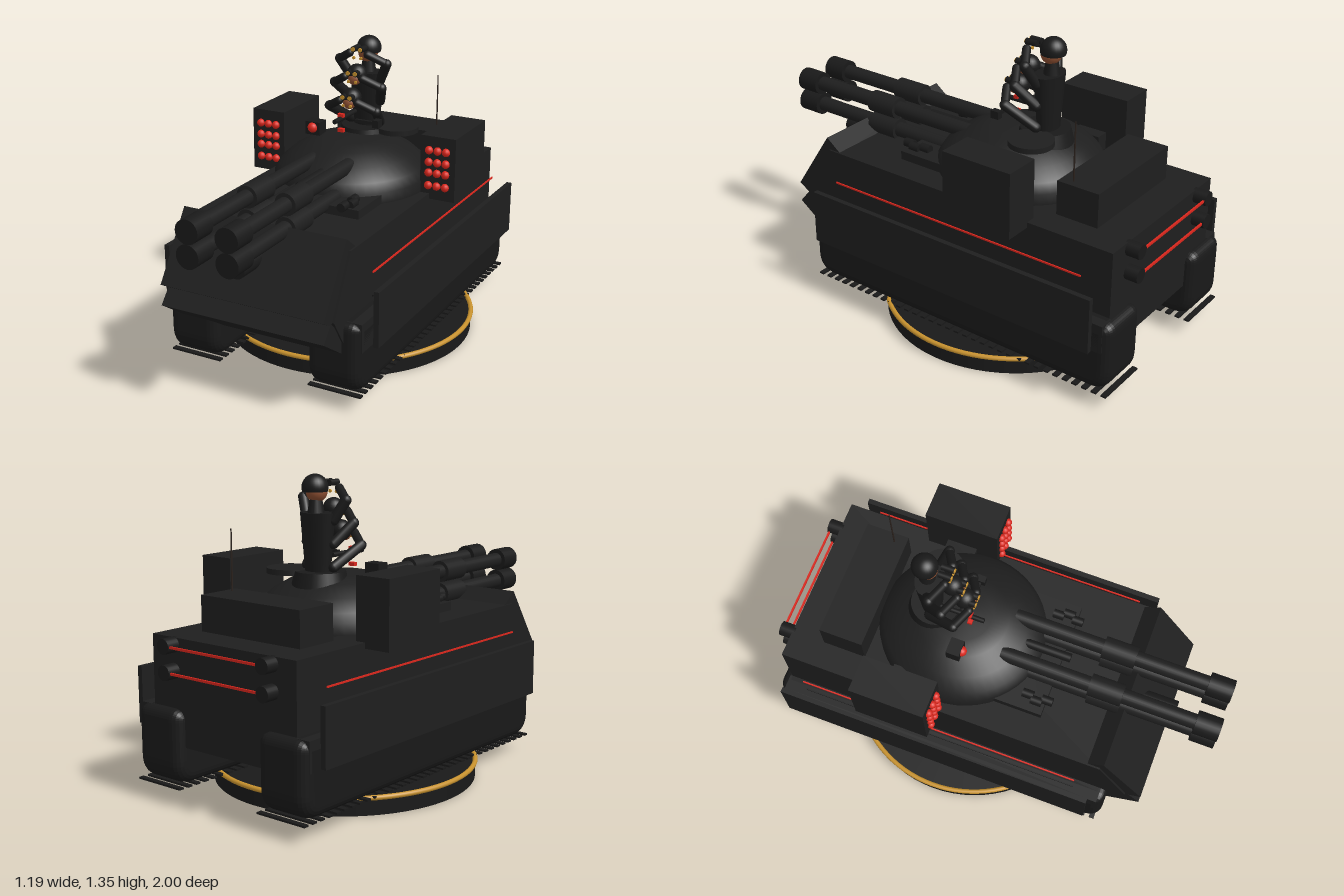
import * as THREE from 'three';

const mat = (name, color) => Object.assign(new THREE.MeshStandardMaterial({ color }), { name });
const M = {
  hull: mat('charcoal armour', 0x1e1e1e),
  dark: mat('black rubber', 0x191919),
  gold: mat('gold', 0xc8922e),
  red: mat('signal red', 0xd8261c),
  skin: mat('skin', 0x8a4d30),
  antenna: mat('antenna brown', 0x2a211c),
};

export function createModel() {
  const root = new THREE.Group();
  root.name = 'rocketTank';

  const add = (name, geo, m, x = 0, y = 0, z = 0, parent = root) => {
    const mesh = new THREE.Mesh(geo, m);
    mesh.name = name;
    mesh.position.set(x, y, z);
    parent.add(mesh);
    return mesh;
  };
  const box = (name, m, x0, x1, y0, y1, z0, z1, parent) =>
    add(name, new THREE.BoxGeometry(x1 - x0, y1 - y0, z1 - z0), m,
      (x0 + x1) / 2, (y0 + y1) / 2, (z0 + z1) / 2, parent);
  // Cylinder along z between z0 and z1
  const tubeZ = (name, m, r, x, y, z0, z1, r2 = r, parent) =>
    add(name, new THREE.CylinderGeometry(r2, r, z1 - z0, 24).rotateX(Math.PI / 2), m, x, y, (z0 + z1) / 2, parent);
  // Rounded limb between two points
  const limb = (name, m, a, b, r, parent) => {
    const p = new THREE.Vector3(...a), q = new THREE.Vector3(...b), d = q.clone().sub(p);
    const mesh = add(name, new THREE.CapsuleGeometry(r, d.length(), 5, 12), m, 0, 0, 0, parent);
    mesh.position.copy(p).add(q).multiplyScalar(0.5);
    mesh.quaternion.setFromUnitVectors(new THREE.Vector3(0, 1, 0), d.normalize());
    return mesh;
  };
  // Profile of [z, y] points swept across x, centred on x = 0
  const sweep = (shape, width, bevel = 0) => {
    const geo = new THREE.ExtrudeGeometry(shape, {
      depth: width - 2 * bevel, bevelEnabled: bevel > 0, bevelSize: bevel,
      bevelThickness: bevel, bevelOffset: -bevel, bevelSegments: 5, curveSegments: 8,
    });
    return geo.translate(0, 0, -(width / 2 - bevel)).rotateY(-Math.PI / 2);
  };
  const profile = pts => new THREE.Shape(pts.map(p => new THREE.Vector2(...p)));

  // Display base with gold rim
  add('base', new THREE.CylinderGeometry(0.585, 0.585, 0.068, 72), M.dark, 0, 0.034, -0.18);
  add('baseRim', new THREE.TorusGeometry(0.585, 0.011, 10, 96).rotateX(Math.PI / 2), M.gold, 0, 0.075, -0.18);

  // Hull and glacis plates
  add('hull', sweep(profile([[-0.94, 0.25], [0.58, 0.25], [0.71, 0.45], [0.57, 0.71], [-0.94, 0.71]]), 0.8), M.hull);
  add('upperGlacis', sweep(profile([[0.5, 0.7], [0.72, 0.44], [0.78, 0.475], [0.585, 0.765]]), 0.784), M.hull);
  add('lowerGlacis', sweep(profile([[0.53, 0.26], [0.57, 0.235], [0.78, 0.38], [0.72, 0.45]]), 0.784), M.hull);
  box('rearBin', M.hull, -0.28, 0.27, 0.7, 0.865, -0.785, -0.585);

  // Tracks, skirts, side lines and pods
  const track = new THREE.Shape();
  track.moveTo(-0.9, 0.085).lineTo(0.54, 0.085).quadraticCurveTo(0.63, 0.095, 0.63, 0.19)
    .lineTo(0.63, 0.37).quadraticCurveTo(0.63, 0.41, 0.59, 0.41).lineTo(-0.94, 0.41)
    .quadraticCurveTo(-0.985, 0.41, -0.985, 0.36).lineTo(-0.985, 0.19).quadraticCurveTo(-0.985, 0.095, -0.9, 0.085);
  const trackGeo = sweep(track, 0.25, 0.05);
  const slat = new THREE.BoxGeometry(0.25, 0.008, 0.024);
  const warhead = new THREE.SphereGeometry(0.019, 12, 8);
  for (const s of [-1, 1]) {
    add('track', trackGeo, M.dark, s * 0.345);
    for (let i = 0; i < 34; i++) add('trackSlat', slat, M.dark, s * 0.345, 0.08, -0.97 + i * 0.0475);
    box('fender', M.hull, s * 0.435 - 0.035, s * 0.435 + 0.035, 0.28, 0.41, -0.95, 0.6);
    box('skirt', M.hull, s * 0.513 - 0.012, s * 0.513 + 0.012, 0.3, 0.55, -0.92, 0.56);
    box('sideStripe', M.red, s * 0.456 - 0.003, s * 0.456 + 0.003, 0.592, 0.599, -0.83, 0.48);
    box('sideRail', M.dark, s * 0.456 - 0.003, s * 0.456 + 0.003, 0.487, 0.493, -0.83, 0.48);

    // Rocket pod with a grid of warheads
    box('rocketPod', M.hull, s * 0.438 - 0.084, s * 0.438 + 0.084, 0.685, 0.98, -0.53, -0.19);
    box('podMount', M.hull, s * 0.33 - 0.04, s * 0.33 + 0.04, 0.72, 0.8, -0.43, -0.29);
    for (const dx of [-0.041, 0, 0.041])
      for (const y of [0.75, 0.81, 0.86, 0.915]) add('warhead', warhead, M.red, s * 0.437 + dx, y, -0.186);

    // Rear lamps
    for (const y of [0.57, 0.68]) tubeZ('rearLamp', M.dark, 0.033, s * 0.275, y, -1, -0.93);

    // Paired cannon barrels
    for (const y of [0.745, 0.85]) {
      tubeZ('barrel', M.hull, 0.034, s * 0.092, y, 0, 0.92);
      tubeZ('barrelSleeve', M.hull, 0.05, s * 0.092, y, 0.41, 0.56);
      tubeZ('muzzle', M.dark, 0.053, s * 0.092, y, 0.89, 1);
    }
    // Smoke launchers
    for (let i = 0; i < 3; i++)
      tubeZ('smokeLauncher', M.dark, 0.02, s * (0.2 + 0.018 * (i % 2)), 0.76, 0.14 + i * 0.045, 0.19 + i * 0.045);
  }
  for (const y of [0.57, 0.68]) box('rearStripe', M.red, -0.275, 0.275, y - 0.005, y + 0.005, -0.995, -0.987);
  tubeZ('bowLamp', M.dark, 0.043, 0, 0.635, 0.58, 0.8);
  tubeZ('coaxialGun', M.dark, 0.02, 0, 0.825, 0, 0.29);

  // Domed turret with mantlet and hatch
  const turretPts = [[0.36, 0], [0.36, 0.05], [0.335, 0.09], [0.28, 0.14], [0.2, 0.185], [0.13, 0.207], [0, 0.212]];
  add('turret', new THREE.LatheGeometry(turretPts.map(p => new THREE.Vector2(...p)), 48), M.hull, 0, 0.71, -0.22)
    .scale.z = 1.05;
  box('mantlet', M.hull, -0.27, 0.27, 0.7, 0.75, -0.05, 0.25);
  add('hatch', new THREE.CylinderGeometry(0.1, 0.1, 0.024, 32), M.hull, 0.15, 0.932, -0.37);
  add('hatchRing', new THREE.CylinderGeometry(0.11, 0.13, 0.08, 32), M.dark, 0, 0.9, -0.34);

  // Roof fittings
  box('searchlight', M.dark, -0.215, -0.14, 0.91, 0.972, -0.21, -0.15);
  add('searchlightLens', new THREE.SphereGeometry(0.024, 16, 10), M.red, -0.177, 0.945, -0.152);
  add('antenna', new THREE.CylinderGeometry(0.003, 0.004, 0.27, 8), M.antenna, 0.232, 0.995, -0.64);
  box('roofSight', M.dark, 0.125, 0.155, 0.985, 1.02, -0.2, -0.16);
  box('sightArm', M.dark, 0.03, 0.14, 0.995, 1.008, -0.19, -0.175);
  tubeZ('roofGun', M.dark, 0.011, -0.035, 1.005, -0.3, -0.1);
  for (const y of [0.95, 1.02]) box('gunMark', M.red, -0.05, -0.02, y - 0.008, y + 0.008, -0.175, -0.155);

  // Crew figure: torso, helmeted head, three tiers of bent arms and goggles
  const crew = new THREE.Group();
  crew.name = 'crewFigure';
  root.add(crew);
  add('torso', new THREE.CylinderGeometry(0.085, 0.06, 0.28, 20), M.dark, 0, 1.05, -0.355, crew).scale.z = 0.7;
  add('neck', new THREE.CylinderGeometry(0.025, 0.04, 0.09, 14), M.dark, 0, 1.215, -0.365, crew);
  add('face', new THREE.SphereGeometry(0.046, 20, 14), M.skin, 0, 1.278, -0.36, crew);
  add('helmet', new THREE.SphereGeometry(0.057, 24, 14, 0, Math.PI * 2, 0, Math.PI * 0.6), M.dark, 0, 1.297, -0.37, crew);
  for (let i = 0; i < 3; i++) {
    const y = 1.3 - 0.1 * i, z = -0.3 + 0.05 * i;
    if (i) {
      add('lowerHead', new THREE.SphereGeometry(0.046, 20, 14), M.dark, 0, y, z, crew);
      add('lowerFace', new THREE.SphereGeometry(0.03, 16, 12), M.skin, 0, y - 0.018, z + 0.022, crew);
    }
    for (const s of [-1, 1]) {
      const elbow = [s * 0.12, y - 0.055, z - 0.01], hand = [s * 0.045, y - 0.01, z + 0.035];
      limb('upperArm', M.dark, [s * 0.075, y - 0.14, -0.34], elbow, 0.023, crew);
      limb('forearm', M.dark, elbow, hand, 0.019, crew);
      tubeZ('goggle', M.dark, 0.014, s * 0.018, y + 0.012, z, z + 0.055, 0.014, crew);
      tubeZ('goggleLens', M.gold, 0.01, s * 0.018, y + 0.012, z + 0.055, z + 0.06, 0.01, crew);
      tubeZ('lowerLens', M.gold, 0.007, s * 0.018, y - 0.028, z + 0.045, z + 0.052, 0.007, crew);
    }
  }
  return root;
}
